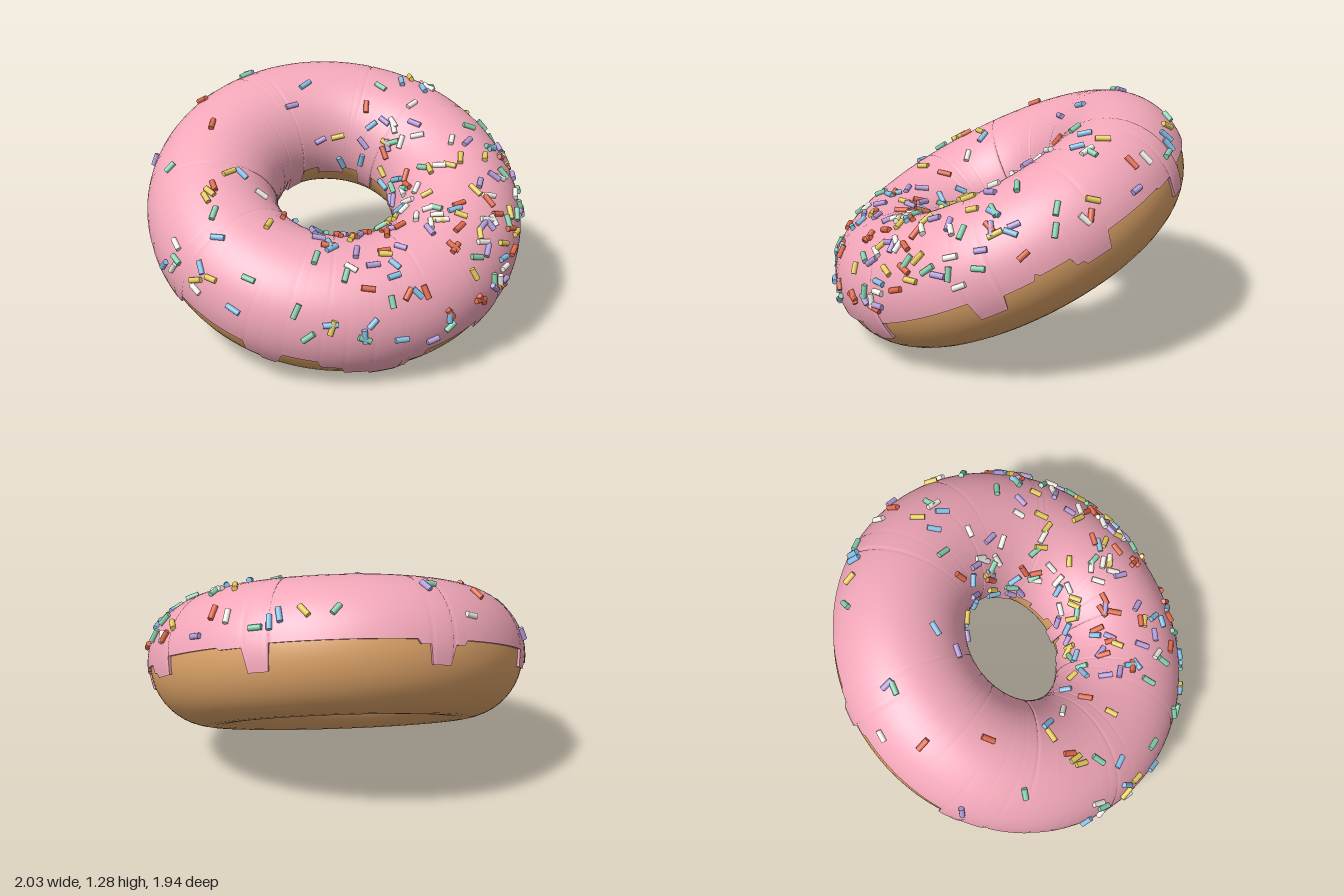
import * as THREE from 'three';
import { mergeGeometries } from 'three/addons/utils/BufferGeometryUtils.js';

const RING = 0.665, DOUGH = 0.335, ICING = 0.35;
const TILT_X = 0.42, TILT_Z = 0.2;
const COLS = 360;

// Drips: [angle round the ring, half width, depth down the tube], degrees
const OUTER_DRIPS = [
  [31, 4, 20], [26, 9, 7], [2, 3, 13], [-2, 4, 17], [8, 7, 5],
  [-36, 7, 4], [-40, 3, 24], [268, 7, 6], [268, 3, 22],
  [222, 6, 10], [226, 3, 17], [208, 6, 6], [184, 9, 14], [184, 5, 24], [186, 2, 29],
  [145, 5, 14], [143, 2, 20], [113, 15, 10], [112, 9, 20], [109, 4, 31], [73, 5, 15], [71, 3, 20],
];
const INNER_DRIPS = [
  [122, 24, 12], [122, 13, 24], [122, 5, 42], [88, 6, 26], [62, 10, 10],
  [160, 7, 30], [160, 14, 14], [195, 8, 20], [205, 4, 30], [232, 14, 12],
  [236, 5, 30], [262, 8, 22], [300, 12, 10], [335, 7, 20], [20, 9, 16],
];

// Point on the tube: a runs round the ring, v round the tube (0 outside, PI/2 top)
function tubePoint(a, v, r) {
  const d = RING + r * Math.cos(v);
  return new THREE.Vector3(d * Math.cos(a), r * Math.sin(v), d * Math.sin(a));
}

// Depth of the icing edge at a ring angle
function edgeDepth(drips, deg) {
  let depth = 2;
  for (const [centre, half, deep] of drips) {
    const off = Math.abs(((deg - centre + 540) % 360 + 360) % 360 - 180);
    if (off <= half) depth = Math.max(depth, deep);
  }
  return THREE.MathUtils.degToRad(depth);
}

// Closed strip round the ring: pointAt(column degrees, t from 0 to 1)
function ringGrid(rows, pointAt) {
  const pos = [], index = [];
  for (let i = 0; i < COLS; i++) {
    for (let j = 0; j <= rows; j++) pos.push(...pointAt(i * 360 / COLS, j / rows).toArray());
    const a = i * (rows + 1), b = ((i + 1) % COLS) * (rows + 1);
    for (let j = 0; j < rows; j++) {
      index.push(a + j, a + j + 1, b + j, b + j, a + j + 1, b + j + 1);
    }
  }
  const g = new THREE.BufferGeometry();
  g.setAttribute('position', new THREE.Float32BufferAttribute(pos, 3));
  g.setIndex(index);
  g.computeVertexNormals();
  return g;
}

function seeded(seed) {
  return () => {
    seed = (seed * 1664525 + 1013904223) % 4294967296;
    return seed / 4294967296;
  };
}

function addMesh(parent, name, geometry, color, side = THREE.FrontSide) {
  const mesh = new THREE.Mesh(geometry, new THREE.MeshStandardMaterial({ color, side }));
  mesh.name = name;
  parent.add(mesh);
}

export function createModel() {
  const model = new THREE.Group();
  model.name = 'doughnut';
  const ring = new THREE.Group();
  ring.name = 'tiltedRing';
  ring.rotation.set(TILT_X, 0, TILT_Z);
  const upright = Math.cos(TILT_X) * Math.cos(TILT_Z);
  ring.position.y = RING * Math.sqrt(1 - upright * upright) + DOUGH;
  model.add(ring);

  // Dough
  addMesh(ring, 'dough', new THREE.TorusGeometry(RING, DOUGH, 48, 120).rotateX(Math.PI / 2), 0xd9a066);

  // Icing shell over the upper half, with stepped drips on both edges
  const rad = THREE.MathUtils.degToRad;
  const outerEdge = deg => -edgeDepth(OUTER_DRIPS, deg);
  const innerEdge = deg => Math.PI + edgeDepth(INNER_DRIPS, deg);
  const shell = ringGrid(32, (deg, t) =>
    tubePoint(rad(deg), THREE.MathUtils.lerp(outerEdge(deg), innerEdge(deg), t), ICING));
  addMesh(ring, 'icing', shell, 0xf2a7b9, THREE.DoubleSide);

  // Thickness of the icing along its edges
  const rim = edge => ringGrid(1, (deg, t) =>
    tubePoint(rad(deg), edge(deg), THREE.MathUtils.lerp(DOUGH - 0.004, ICING, t)));
  addMesh(ring, 'icingOuterRim', rim(outerEdge), 0xf2a7b9, THREE.DoubleSide);
  addMesh(ring, 'icingInnerRim', rim(innerEdge), 0xf2a7b9, THREE.DoubleSide);

  // Sprinkles lying on the icing, thicker towards the front and the left
  const colors = {
    orange: 0xe0694a, yellow: 0xe6cc5c, mint: 0x86d0ae,
    blue: 0x86bfe6, lilac: 0xb39ddb, white: 0xf2f0ea,
  };
  const names = Object.keys(colors);
  const batches = names.map(() => []);
  const rand = seeded(77);
  const basis = new THREE.Matrix4();
  let count = 0;
  while (count < 210) {
    const a = rand() * Math.PI * 2, v = 0.15 + rand() * (Math.PI - 0.2);
    const density = 0.5 + 0.4 * Math.sin(a) + 0.15 * Math.cos(a);
    const area = (RING + ICING * Math.cos(v)) / (RING + ICING);
    if (rand() > density * (0.3 + 0.7 * area)) continue;
    const normal = new THREE.Vector3(Math.cos(v) * Math.cos(a), Math.sin(v), Math.cos(v) * Math.sin(a));
    const along = new THREE.Vector3(-Math.sin(a), 0, Math.cos(a)).applyAxisAngle(normal, rand() * Math.PI);
    basis.makeBasis(along.clone().cross(normal).negate(), along, normal.clone().negate());
    if (basis.determinant() < 0) basis.makeBasis(along.clone().cross(normal), along, normal);
    basis.setPosition(tubePoint(a, v, ICING + 0.008));
    const length = 0.06 + rand() * 0.016;
    batches[count % names.length].push(
      new THREE.CylinderGeometry(0.0145, 0.0145, length, 10).applyMatrix4(basis));
    count++;
  }
  names.forEach((name, i) =>
    addMesh(ring, name + 'Sprinkles', mergeGeometries(batches[i]), colors[name]));

  return model;
}
